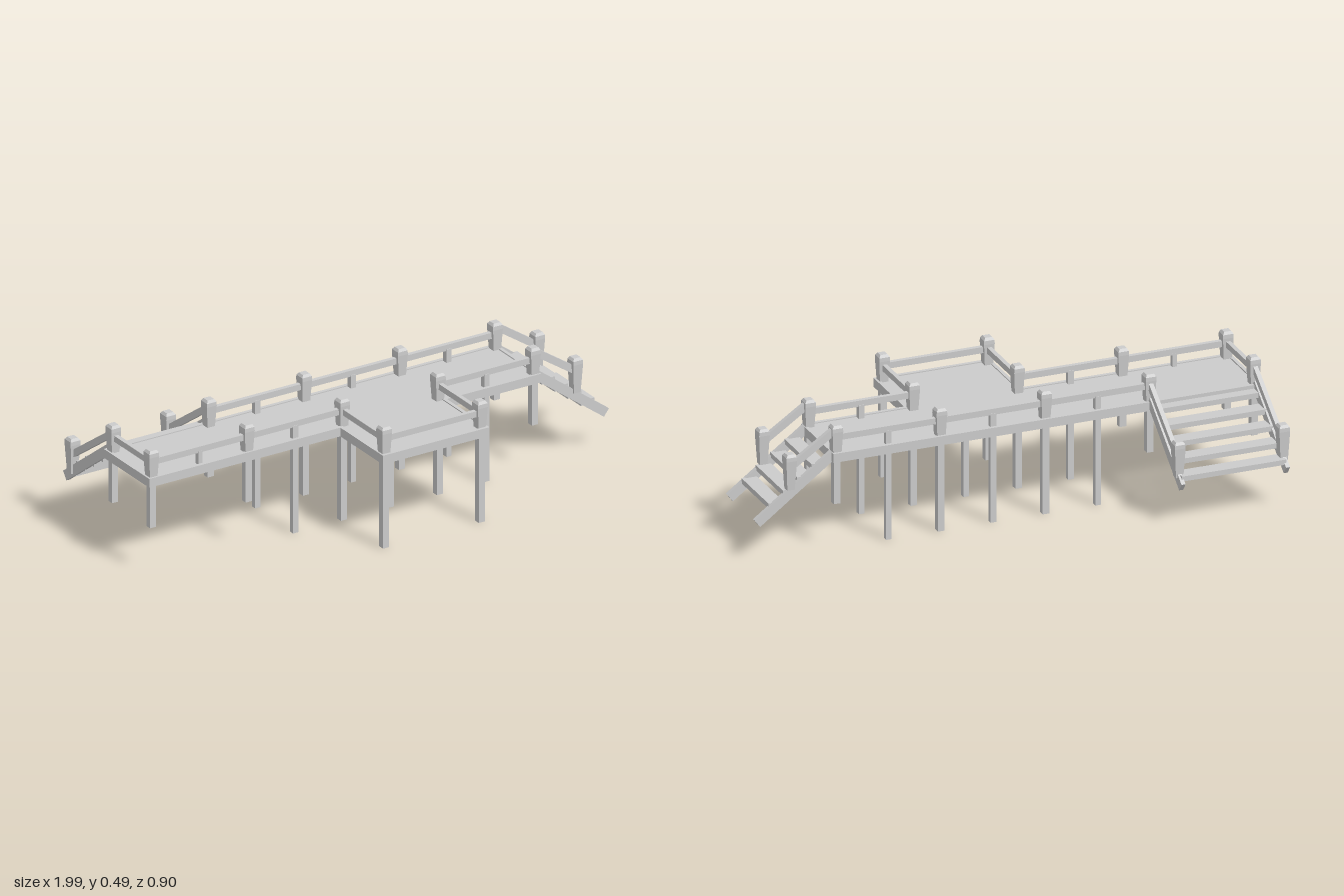
import * as THREE from 'three';

const material = new THREE.MeshStandardMaterial({ color: 0xcccccc, flatShading: true });
const BACK = -0.119, FRONT = 0.138, FAR = 0.422;       // post rows in z
const COLS = [-0.976, -0.564, -0.153, 0.26, 0.67];     // post columns in x

export function createModel() {
  const group = new THREE.Group();
  group.name = 'boardwalk';

  const add = (name, geometry) => {
    const mesh = new THREE.Mesh(geometry, material);
    mesh.name = name;
    group.add(mesh);
    return mesh;
  };

  // Box given by its min and max corners
  const box = (name, x0, x1, y0, y1, z0, z1) => {
    const mesh = add(name, new THREE.BoxGeometry(x1 - x0, y1 - y0, z1 - z0));
    mesh.position.set((x0 + x1) / 2, (y0 + y1) / 2, (z0 + z1) / 2);
    return mesh;
  };

  // Board whose length runs from point a to point b
  const beam = (name, a, b, height, width) => {
    const p = new THREE.Vector3(...a), q = new THREE.Vector3(...b);
    const mesh = add(name, new THREE.BoxGeometry(width, height, p.distanceTo(q)));
    mesh.position.copy(p).lerp(q, 0.5);
    mesh.lookAt(q);
    return mesh;
  };

  // Square post, widening upward, with a chamfered cap
  const profile = [[0, 0], [0.029, 0], [0.042, 0.115], [0.041, 0.13], [0.028, 0.14], [0, 0.14]]
    .map(([w, y]) => new THREE.Vector2(w * Math.SQRT1_2, y));
  const postGeometry = new THREE.LatheGeometry(profile, 4).toNonIndexed();
  postGeometry.rotateY(Math.PI / 4);
  postGeometry.computeVertexNormals();
  const post = (name, x, top, z) => add(name, postGeometry).position.set(x, top - 0.14, z);

  const leg = (x, z, bottom, top = 0.36, w = 0.026) =>
    box('leg', x - w / 2, x + w / 2, bottom, top, z - w / 2, z + w / 2);

  // Walkway and side platform floors
  box('walkwayFloor', -0.985, 0.685, 0.355, 0.377, -0.135, 0.152);
  box('platformFloor', -0.167, 0.275, 0.355, 0.377, 0.152, 0.438);

  // Edge boards around the deck outline: x0, x1, z0, z1
  const t = 0.014;
  [
    [-1, 0.69, -0.146, -0.146 + t],
    [-1, -0.176, 0.162 - t, 0.162],
    [0.284, 0.69, 0.162 - t, 0.162],
    [-1, -1 + t, -0.146, 0.162],
    [0.676, 0.69, -0.13, 0.148],
    [-0.176, -0.176 + t, 0.148, 0.45],
    [0.284 - t, 0.284, 0.148, 0.45],
    [-0.176, 0.284, 0.45 - t, 0.45],
  ].forEach(([x0, x1, z0, z1]) => box('edgeBoard', x0, x1, 0.346, 0.381, z0, z1));

  // Railing posts and the legs below them; the outer legs are short
  for (const x of COLS) {
    const inner = x === COLS[2] || x === COLS[3];
    for (const z of inner ? [BACK, FRONT, FAR] : [BACK, FRONT]) {
      post('railingPost', x, 0.485, z);
      leg(x, z, inner ? 0 : 0.176);
    }
  }

  // Intermediate legs that carry on up to the rail as balusters
  for (const x of [-0.36, 0.053, 0.465]) {
    leg(x, BACK, 0, 0.43, 0.022);
    leg(x, FRONT, 0, x === 0.053 ? 0.36 : 0.43, 0.022);
  }
  box('baluster', -0.779, -0.761, 0.37, 0.43, FRONT - 0.009, FRONT + 0.009);

  // Level handrails: start x, z and end x, z
  [
    [COLS[1], BACK, COLS[4], BACK],
    [COLS[0], FRONT, COLS[2], FRONT],
    [COLS[3], FRONT, COLS[4], FRONT],
    [COLS[0], BACK, COLS[0], FRONT],
    [COLS[2], FRONT, COLS[2], FAR],
    [COLS[3], FRONT, COLS[3], FAR],
    [COLS[2], FAR, COLS[3], FAR],
  ].forEach(([x0, z0, x1, z1]) =>
    beam('handrail', [x0, 0.436, z0], [x1, 0.436, z1], 0.024, 0.017));

  // Back stairs
  for (const x of [COLS[0], COLS[1]]) {
    beam('backStairStringer', [x, 0.382, -0.135], [x, 0.157, -0.435], 0.038, 0.016);
    beam('backStairRail', [x, 0.45, BACK], [x, 0.256, -0.395], 0.025, 0.017);
    post('backStairPost', x, 0.325, -0.395);
  }
  for (let i = 0; i < 5; i++) {
    const z = -0.4 + i * 0.0605, y = 0.187 + i * 0.0425;
    box('backStairTread', COLS[0], COLS[1], y - 0.01, y + 0.01, z - 0.03, z + 0.03);
  }

  // End stairs
  for (const z of [BACK, FRONT]) {
    beam('endStairStringer', [0.68, 0.372, z], [0.982, 0.146, z], 0.036, 0.016);
    beam('endStairRail', [0.67, 0.468, z], [0.852, 0.345, z], 0.028, 0.017);
    post('endStairPost', 0.852, 0.4, z);
  }
  for (let i = 0; i < 4; i++) {
    const x = 0.906 - i * 0.0565, y = 0.205 + i * 0.0425;
    box('endStairTread', x - 0.029, x + 0.029, y - 0.01, y + 0.01, BACK, FRONT);
  }

  return group;
}
